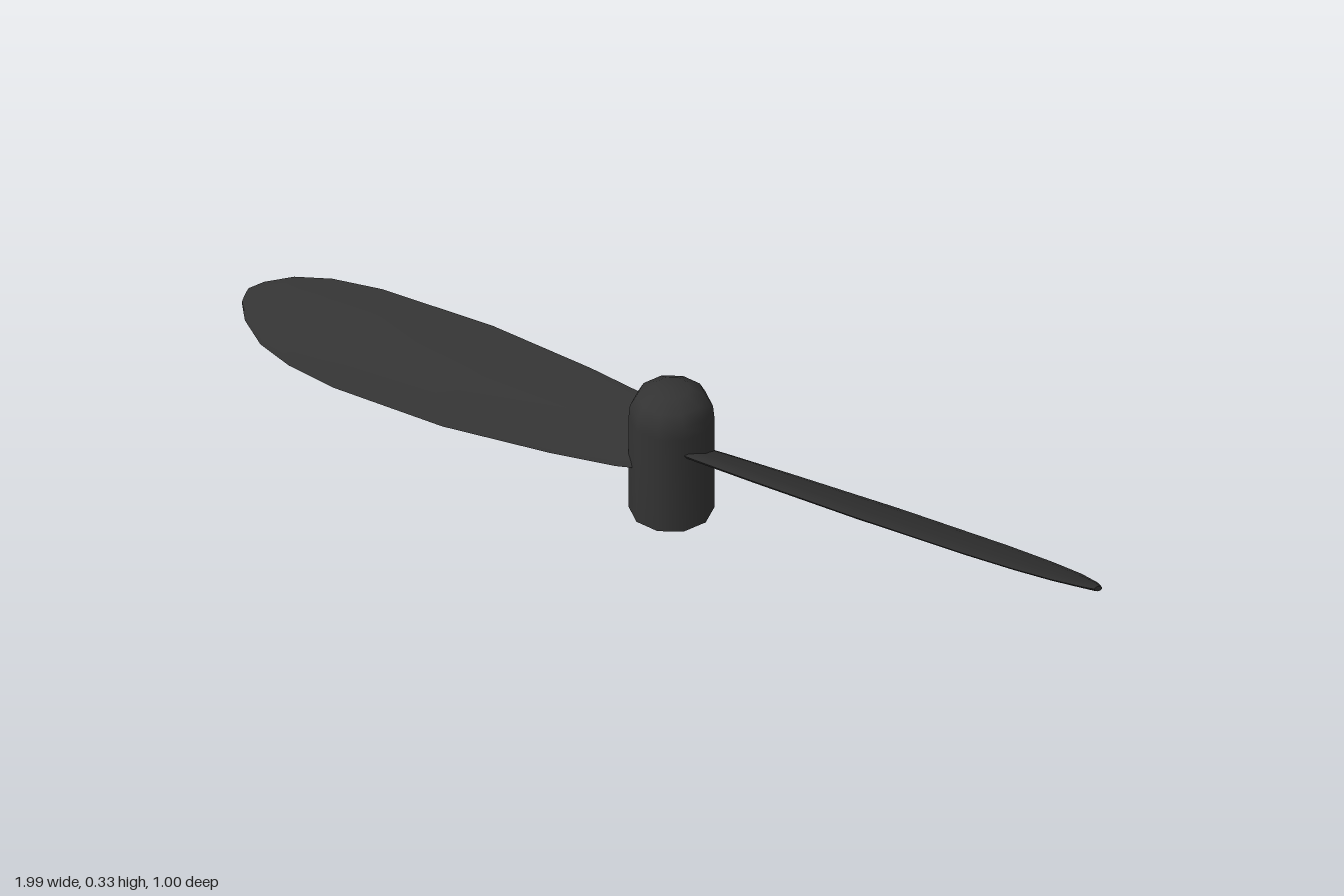
import * as THREE from 'three';
import { toCreasedNormals } from 'three/addons/utils/BufferGeometryUtils.js';

const material = new THREE.MeshStandardMaterial({ color: 0x333333 });
const PITCH = THREE.MathUtils.degToRad(30);
const HEADING = THREE.MathUtils.degToRad(25.5);

// Blade outline: [distance from the axis, half chord, chord centre, half thickness]
const STATIONS = [
  [0.01, 0.07, 0, 0.01],
  [0.1, 0.09, 0, 0.011],
  [0.26, 0.11, 0, 0.011],
  [0.52, 0.131, 0, 0.011],
  [0.8, 0.128, 0.002, 0.01],
  [0.92, 0.113, 0.003, 0.009],
  [1.005, 0.088, 0.004, 0.008],
  [1.065, 0.05, 0.008, 0.007],
  [1.09, 0.02, 0.014, 0.006],
  [1.093, 0, 0.014, 0],
];

// Thin lens-shaped sections lofted along x, then pitched
function bladeGeometry() {
  const sides = 12;
  const positions = [];
  const indices = [];
  STATIONS.forEach(([x, chord, centre, thickness], i) => {
    for (let j = 0; j < sides; j++) {
      const a = (j / sides) * Math.PI * 2;
      positions.push(x, thickness * Math.sin(a), centre + chord * Math.cos(a));
      if (i === STATIONS.length - 1) continue;
      const k = (j + 1) % sides;
      const p = i * sides + j, q = i * sides + k;
      indices.push(p, p + sides, q + sides, p, q + sides, q);
    }
  });
  const geometry = new THREE.BufferGeometry();
  geometry.setAttribute('position', new THREE.Float32BufferAttribute(positions, 3));
  geometry.setIndex(indices);
  geometry.rotateX(-PITCH);
  return toCreasedNormals(geometry, Math.PI / 5);
}

export function createModel() {
  const model = new THREE.Group();
  model.name = 'propeller';

  // Ten-sided hub with a rounded, flat-topped nose
  const profile = [
    [0, 0], [0.095, 0], [0.095, 0.25], [0.092, 0.28], [0.077, 0.308], [0.042, 0.328], [0, 0.328],
  ].map(([r, y]) => new THREE.Vector2(r, y));
  const hub = new THREE.Mesh(
    toCreasedNormals(new THREE.LatheGeometry(profile, 10), Math.PI / 4),
    material
  );
  hub.name = 'hub';
  hub.position.set(0.005, 0, 0.005);
  model.add(hub);

  // Two blades, half a turn apart
  const geometry = bladeGeometry();
  ['leftBlade', 'rightBlade'].forEach((name, i) => {
    const blade = new THREE.Mesh(geometry, material);
    blade.name = name;
    blade.position.y = 0.167;
    blade.rotation.y = HEADING + i * Math.PI;
    model.add(blade);
  });

  return model;
}
